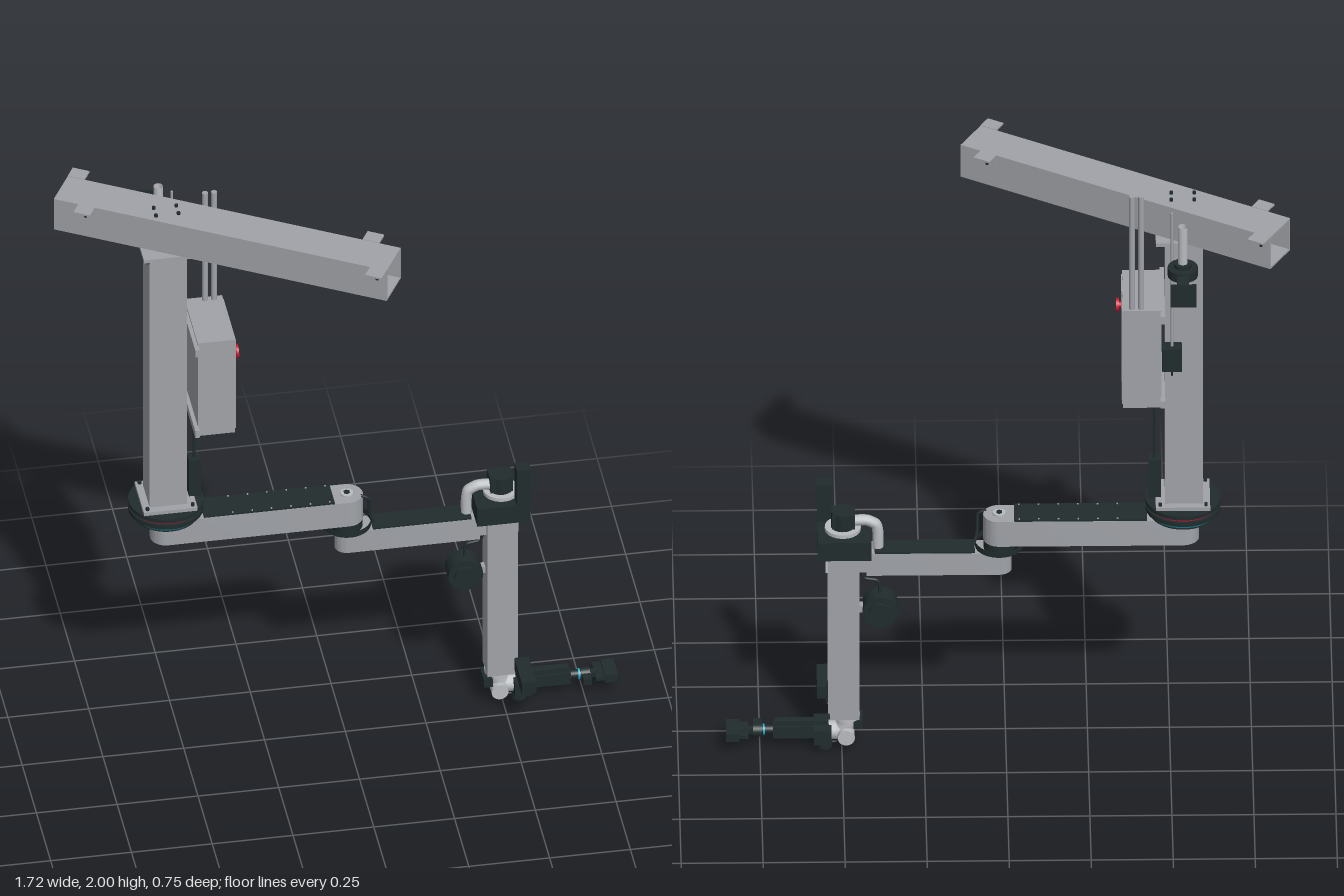
import * as THREE from 'three';
import { mergeVertices, toCreasedNormals } from 'three/addons/utils/BufferGeometryUtils.js';

export function createModel() {
  const model = new THREE.Group();
  model.name = 'ceilingMountedArm';
  const mat = (name, color) => {
    const m = new THREE.MeshStandardMaterial({ color, side: THREE.DoubleSide });
    m.name = name;
    return m;
  };
  const grey = mat('paintedGrey', 0xa0a3a8);
  const silver = mat('lightSteel', 0xb9bcbf);
  const black = mat('blackPlastic', 0x212c2c);
  const red = mat('signalRed', 0xc8142f);
  const teal = mat('tealBand', 0x14748a);
  const cyan = mat('cyanStrip', 0x1fb2cf);
  const Z = -0.088; // depth of the arm's centre plane

  // helpers
  const add = (name, geo, m, x = 0, y = 0, z = 0, parent = model) => {
    const mesh = new THREE.Mesh(geo, m);
    mesh.name = name;
    mesh.position.set(x, y, z);
    parent.add(mesh);
    return mesh;
  };
  // box from its min and max extents
  const box = (name, m, [x0, x1], [y0, y1], [z0, z1], parent = model) =>
    add(name, new THREE.BoxGeometry(x1 - x0, y1 - y0, z1 - z0), m,
      (x0 + x1) / 2, (y0 + y1) / 2, (z0 + z1) / 2, parent);
  // cylinder along an axis, centred at a point
  const cyl = (name, m, r, len, x, y, z, axis = 'y', parent = model, r2 = r, seg = 32) => {
    const g = new THREE.CylinderGeometry(r2, r, len, seg);
    if (axis === 'x') g.rotateZ(-Math.PI / 2);
    if (axis === 'z') g.rotateX(Math.PI / 2);
    return add(name, g, m, x, y, z, parent);
  };
  const tube = (name, m, r, pts, parent = model) => {
    const curve = new THREE.CatmullRomCurve3(pts.map(p => new THREE.Vector3(...p)), false, 'catmullrom', 0.3);
    return add(name, new THREE.TubeGeometry(curve, 40, r, 12), m, 0, 0, 0, parent);
  };
  const bolts = (name, m, cx, cz, dx, dz, y, r = 0.006, h = 0.01, parent = model) => {
    for (const sx of [-1, 1]) for (const sz of [-1, 1])
      cyl(name, m, r, h, cx + sx * dx, y, cz + sz * dz, 'y', parent, r, 6);
  };
  // horizontal link with rounded ends
  const link = (name, m, xa, xb, r, y0, y1, roundRight = true) => {
    const s = new THREE.Shape();
    s.moveTo(xb, r);
    s.lineTo(xa, r);
    s.absarc(xa, 0, r, Math.PI / 2, Math.PI * 1.5, false);
    s.lineTo(xb, -r);
    if (roundRight) s.absarc(xb, 0, r, -Math.PI / 2, Math.PI / 2, false);
    else s.lineTo(xb, r);
    const g = new THREE.ExtrudeGeometry(s, { depth: y1 - y0, bevelEnabled: false, curveSegments: 16 });
    g.rotateX(-Math.PI / 2);
    return add(name, toCreasedNormals(mergeVertices(g), 0.6), m, 0, y0, Z);
  };

  // ceiling beam: open square tube turned by 30 degrees, with mounting angles
  const beam = new THREE.Group();
  beam.name = 'ceilingBeam';
  beam.position.set(-0.366, 0, 0.004);
  beam.rotation.y = -Math.PI / 6;
  model.add(beam);
  const rect = (P, w, h) => new P([[-w, -h], [w, -h], [w, h], [-w, h]].map(p => new THREE.Vector2(...p)));
  const section = rect(THREE.Shape, 0.0625, 0.0575);
  section.holes.push(rect(THREE.Path, 0.0565, 0.0515));
  const beamGeo = new THREE.ExtrudeGeometry(section, { depth: 1.08, bevelEnabled: false });
  beamGeo.translate(0, 0, -0.54).rotateY(Math.PI / 2);
  add('beamTube', beamGeo, grey, 0, 1.914, 0, beam);
  for (const [x, s] of [[-0.513, -1], [0.443, -1], [-0.433, 1], [0.513, 1]]) {
    add('mountingAngleTop', new THREE.BoxGeometry(0.054, 0.006, 0.045), grey, x, 1.97, s * 0.085, beam);
    add('mountingAngleSide', new THREE.BoxGeometry(0.054, 0.055, 0.006), grey, x, 1.944, s * 0.0655, beam);
    cyl('mountingAngleBolt', black, 0.005, 0.008, x, 1.94, s * 0.071, 'z', beam, 0.005, 6);
  }

  // column with its end plates
  box('column', grey, [-0.6, -0.485], [0.9, 1.845], [-0.147, -0.03]);
  box('columnTopPlate', grey, [-0.622, -0.456], [1.845, 1.857], [-0.17, -0.005]);
  bolts('topPlateBolt', black, -0.539, Z, 0.07, 0.07, 1.84);
  bolts('beamTopBolt', black, -0.539, Z, 0.035, 0.02, 1.975);
  box('columnFootPlate', grey, [-0.622, -0.456], [0.89, 0.902], [-0.17, -0.005]);
  bolts('footPlateBolt', black, -0.539, Z, 0.07, 0.07, 0.906);

  // rotary bearing under the column
  for (const [name, m, r, y0, y1] of [
    ['bearingTop', black, 0.115, 0.876, 0.89], ['bearingRedRing', red, 0.107, 0.868, 0.876],
    ['bearingBody', black, 0.115, 0.853, 0.868], ['bearingTealRing', teal, 0.104, 0.842, 0.853],
    ['bearingBase', black, 0.1, 0.834, 0.842]])
    cyl(name, m, r, y1 - y0, -0.54, (y0 + y1) / 2, Z, 'y', model, r, 48);
  box('cableGland', black, [-0.472, -0.435], [0.9, 1.035], [-0.108, -0.066]);
  tube('controlCable', black, 0.005, [[-0.453, 1.25, Z], [-0.453, 1.15, Z], [-0.453, 1.03, Z]]);

  // control cabinet
  box('cabinet', grey, [-0.473, -0.357], [1.245, 1.595], [-0.14, 0.093]);
  box('cabinetDoor', grey, [-0.357, -0.353], [1.255, 1.585], [-0.132, 0.085]);
  for (const y of [1.27, 1.575])
    box('cabinetBracket', grey, [-0.485, -0.471], [y - 0.013, y + 0.013], [-0.165, 0.118]);
  cyl('stopButtonStem', red, 0.01, 0.012, -0.349, 1.508, 0.034, 'x');
  cyl('stopButton', red, 0.022, 0.008, -0.342, 1.508, 0.034, 'x');
  for (const x of [-0.412, -0.384]) cyl('conduit', grey, 0.009, 0.405, x, 1.797, -0.126);

  // switch box and cable behind the column
  box('switchBox', black, [-0.535, -0.475], [1.415, 1.495], [-0.205, -0.16]);
  box('switchBoxBracket', grey, [-0.525, -0.485], [1.43, 1.48], [-0.16, -0.147]);
  cyl('switchConduit', grey, 0.004, 0.48, -0.505, 1.735, -0.183);
  tube('switchCable', black, 0.003, [[-0.505, 1.415, -0.183], [-0.505, 1.385, -0.175], [-0.505, 1.38, -0.147]]);

  // bent supply pipe with clamp and hose holder
  tube('supplyPipe', silver, 0.015, [[-0.537, 1.71, -0.14], [-0.537, 1.71, -0.19], [-0.537, 1.722, -0.222],
    [-0.537, 1.755, -0.237], [-0.537, 1.85, -0.237], [-0.537, 1.96, -0.237]]);
  cyl('pipeClamp', black, 0.046, 0.03, -0.537, 1.802, -0.241);
  cyl('pipeClampHub', black, 0.027, 0.055, -0.537, 1.802, -0.237);
  box('hoseHolderArm', black, [-0.555, -0.519], [1.793, 1.811], [-0.382, -0.27]);
  box('hoseHolderPlate', black, [-0.577, -0.497], [1.762, 1.842], [-0.385, -0.379]);

  // upper arm
  link('upperArm', grey, -0.54, 0.02, 0.049, 0.745, 0.834);
  box('upperArmCover', black, [-0.43, -0.025], [0.834, 0.839], [Z - 0.048, Z + 0.048]);
  for (let i = 0; i < 6; i++) for (const s of [-1, 1])
    cyl('upperCoverScrew', grey, 0.003, 0.003, -0.34 + i * 0.06, 0.84, Z + s * 0.042, 'y', model, 0.003, 6);
  cyl('elbowCap', silver, 0.02, 0.006, 0.02, 0.836, Z);
  cyl('elbowCapScrew', black, 0.01, 0.008, 0.02, 0.838, Z, 'y', model, 0.01, 6);
  tube('elbowCable', black, 0.005, [[0.06, 0.836, Z + 0.02], [0.085, 0.82, Z + 0.02], [0.088, 0.76, Z + 0.01], [0.1, 0.72, Z]]);

  // elbow joint with a thin guard ring
  cyl('elbowBearing', black, 0.048, 0.034, 0.02, 0.73, Z);
  add('elbowGuardRing', new THREE.CylinderGeometry(0.074, 0.074, 0.02, 48, 1, true), black, 0.02, 0.731, Z);

  // forearm
  link('forearm', grey, 0.02, 0.425, 0.038, 0.637, 0.715, false);
  box('forearmCover', black, [0.095, 0.4], [0.715, 0.72], [Z - 0.037, Z + 0.037]);
  box('forearmMount', grey, [0.425, 0.448], [0.645, 0.71], [Z - 0.03, Z + 0.03]);
  tube('forearmPipe', silver, 0.017, [[0.39, 0.715, Z], [0.39, 0.77, Z], [0.396, 0.8, Z], [0.425, 0.815, Z], [0.47, 0.815, Z]]);

  // lift head
  box('liftHead', black, [0.41, 0.575], [0.717, 0.782], [-0.167, -0.007]);
  cyl('liftCollar', silver, 0.055, 0.012, 0.497, 0.788, Z);
  cyl('liftMotor', black, 0.036, 0.07, 0.497, 0.815, Z);
  box('liftMotorCap', black, [0.46, 0.53], [0.8, 0.848], [Z - 0.03, Z + 0.03]);
  box('liftDrive', black, [0.532, 0.575], [0.782, 0.915], [-0.047, -0.003]);

  // vertical post
  box('post', grey, [0.447, 0.537], [0.12, 0.717], [-0.131, -0.041]);
  box('postStrip', cyan, [0.537, 0.541], [0.22, 0.63], [Z - 0.006, Z + 0.006]);
  for (const s of [-1, 1])
    box('postRail', grey, [0.537, 0.543], [0.14, 0.717], [Z + s * 0.026 - 0.01, Z + s * 0.026 + 0.01]);
  box('stripTopClamp', silver, [0.537, 0.55], [0.63, 0.717], [Z - 0.01, Z + 0.01]);
  box('stripBottomClamp', black, [0.537, 0.548], [0.16, 0.23], [Z - 0.008, Z + 0.008]);
  box('postSensor', black, [0.53, 0.575], [0.14, 0.182], [-0.04, 0.092]);

  // balancer reel
  cyl('balancerReel', black, 0.054, 0.064, 0.383, 0.5, Z);
  model.children[model.children.length - 1].rotation.x = Math.PI / 2;
  cyl('balancerHub', black, 0.035, 0.084, 0.383, 0.5, Z, 'z');
  box('balancerBracket', grey, [0.425, 0.448], [0.488, 0.512], [Z - 0.012, Z + 0.012]);
  tube('balancerCable', black, 0.005, [[0.441, 0.717, Z], [0.441, 0.63, Z], [0.43, 0.605, Z], [0.395, 0.598, Z], [0.385, 0.58, Z], [0.385, 0.545, Z]]);

  // wrist
  tube('wristElbow', silver, 0.03, [[0.487, 0.13, Z], [0.487, 0.09, Z], [0.496, 0.066, Z], [0.515, 0.06, Z], [0.54, 0.06, Z]]);
  cyl('wristFlange', silver, 0.042, 0.014, 0.487, 0.115, Z);
  cyl('wristPivot', silver, 0.026, 0.09, 0.487, 0.055, Z, 'z');
  box('wristSensor', black, [0.437, 0.465], [0.075, 0.105], [Z - 0.025, Z + 0.04]);
  cyl('wristFoot', black, 0.024, 0.03, 0.553, 0.016, Z);
  tube('wristCable', black, 0.004, [[0.5, 0.035, Z], [0.515, 0.018, Z], [0.54, 0.014, Z]]);

  // tool and gripper
  box('toolMount', black, [0.532, 0.585], [0.035, 0.085], [-0.14, -0.037]);
  box('toolBody', black, [0.58, 0.71], [0.04, 0.08], [Z - 0.019, Z + 0.019]);
  box('toolTopRail', black, [0.545, 0.705], [0.08, 0.097], [Z - 0.012, Z + 0.012]);
  cyl('toolNeck', black, 0.014, 0.035, 0.727, 0.062, Z, 'x');
  cyl('toolRing', cyan, 0.017, 0.006, 0.738, 0.062, Z, 'x');
  cyl('toolCollar', black, 0.021, 0.028, 0.757, 0.06, Z, 'x');
  box('toolSideLug', black, [0.745, 0.77], [0.05, 0.072], [-0.072, -0.04]);
  box('gripperLink', black, [0.77, 0.81], [0.052, 0.068], [Z - 0.012, Z + 0.012]);
  box('gripperPalm', black, [0.785, 0.815], [0.055, 0.066], [-0.133, -0.049]);
  box('gripperPad', black, [0.812, 0.853], [0.047, 0.073], [-0.135, -0.047]);
  return model;
}
